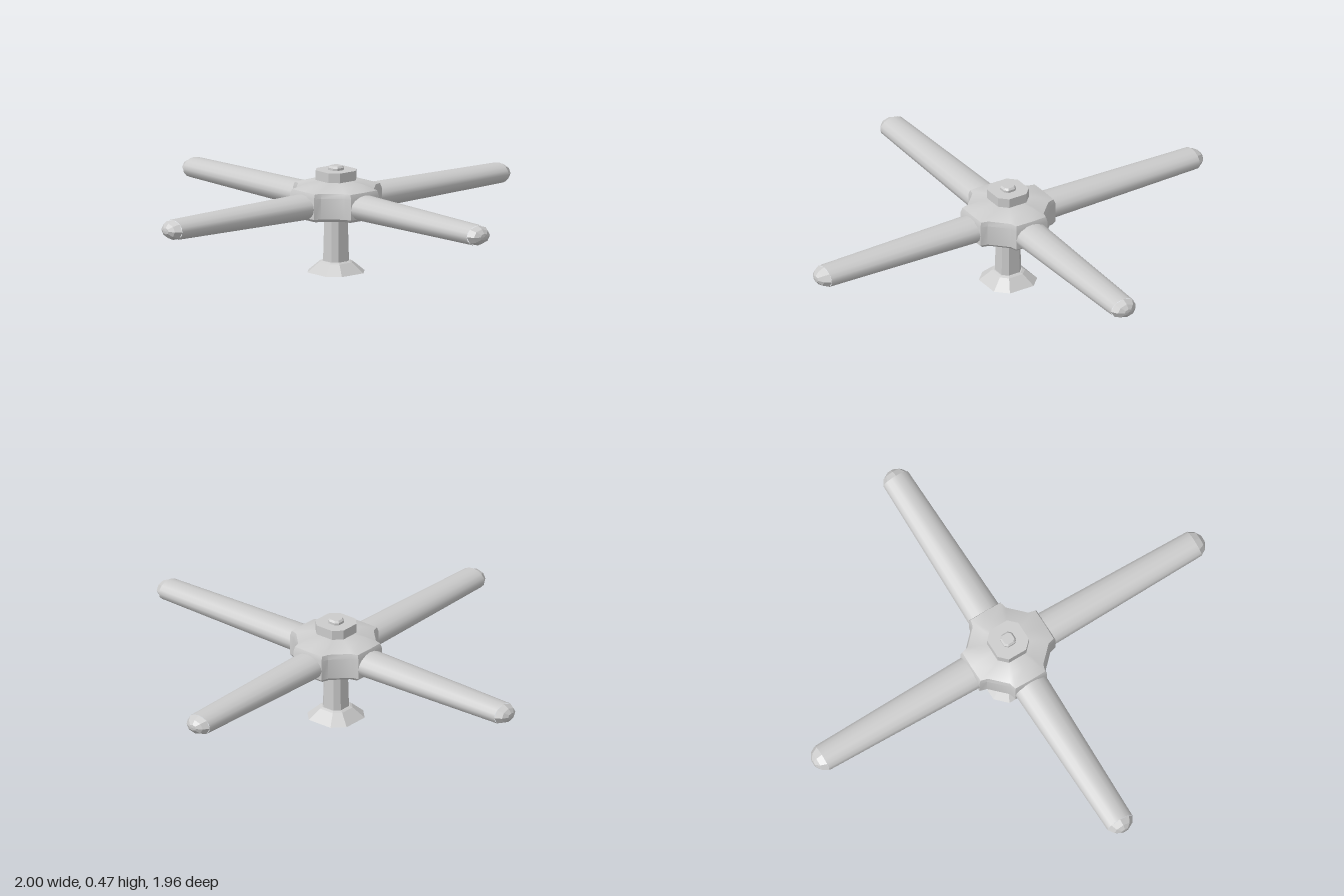
import * as THREE from 'three';
import { toCreasedNormals } from 'three/addons/utils/BufferGeometryUtils.js';

const smooth = new THREE.MeshStandardMaterial({ color: 0xcccccc });
const faceted = new THREE.MeshStandardMaterial({ color: 0xcccccc, flatShading: true });

// Repeat a quarter outline (in x, z) around the vertical axis
function fourfold(quarter) {
  const points = [];
  for (let i = 0; i < 4; i++) {
    const c = Math.round(Math.cos(i * Math.PI / 2)), s = Math.round(Math.sin(i * Math.PI / 2));
    for (const [x, z] of quarter) points.push([x * c - z * s, x * s + z * c]);
  }
  return points;
}

// Stack scaled copies of an outline as [scale, y] rings and close both ends
function stack(outline, rings) {
  const n = outline.length, pos = [], index = [];
  const layers = [[0, rings[0][1]], ...rings, [0, rings[rings.length - 1][1]]];
  for (const [s, y] of layers) for (const [x, z] of outline) pos.push(x * s, y, z * s);
  for (let r = 0; r < layers.length - 1; r++) {
    for (let i = 0; i < n; i++) {
      const a = r * n + i, b = r * n + (i + 1) % n;
      if (r > 0) index.push(a, a + n, b);
      if (r < layers.length - 2) index.push(b, a + n, b + n);
    }
    // bottom fan
    if (r === 0) for (let i = 0; i < n; i++) index.push(i, n + i, n + (i + 1) % n);
  }
  const g = new THREE.BufferGeometry();
  g.setAttribute('position', new THREE.Float32BufferAttribute(pos, 3));
  g.setIndex(index);
  return g;
}

// Unit square with cut corners
const octagon = fourfold([[1, -0.55], [1, 0.55]]);

function add(group, name, geometry, material) {
  const mesh = new THREE.Mesh(geometry, material);
  mesh.name = name;
  group.add(mesh);
  return mesh;
}

// Lathe a [radius, distance] profile, lay it along +x and flatten it vertically
function armPart(profile, sides) {
  const g = new THREE.LatheGeometry(profile.map(p => new THREE.Vector2(...p)), sides);
  g.rotateZ(-Math.PI / 2);
  g.scale(1, 0.7, 1);
  return g;
}

export function createModel() {
  const model = new THREE.Group();

  // Foot and stem
  add(model, 'foot', stack(octagon, [[0.112, 0], [0.065, 0.045], [0.055, 0.05]]), faceted);
  add(model, 'stem', stack(octagon, [[0.051, 0.04], [0.045, 0.28]]), faceted);

  // Cross-shaped domed hub with cut corners
  const hubOutline = fourfold([
    [0.195, -0.08], [0.197, 0], [0.195, 0.08], [0.162, 0.089], [0.089, 0.162],
  ]);
  const hub = stack(hubOutline, [
    [0.5, 0.248], [0.93, 0.255], [1, 0.268], [1, 0.36], [0.96, 0.381],
    [0.65, 0.4], [0.27, 0.41],
  ]);
  add(model, 'hub', toCreasedNormals(hub, 0.6), smooth);

  // Four tapered arms with faceted tips
  const shaft = armPart([[0.083, 0.12], [0.08, 0.2], [0.064, 0.955]], 16);
  const tip = armPart([[0.064, 0.955], [0.046, 0.983], [0.02, 0.998], [0, 1]], 8);
  for (let i = 0; i < 4; i++) {
    const arm = new THREE.Group();
    arm.name = 'arm' + (i + 1);
    add(arm, 'armShaft', shaft, smooth);
    add(arm, 'armTip', tip, faceted);
    arm.position.y = 0.313;
    arm.rotation.y = i * Math.PI / 2;
    if (i % 2) arm.scale.x = 0.982;
    model.add(arm);
  }

  // Nut and bolt end
  add(model, 'nut', stack(octagon, [[0.08, 0.412], [0.08, 0.455]]), faceted);
  add(model, 'boltEnd', stack(octagon, [[0.031, 0.45], [0.031, 0.465], [0.024, 0.473]]), faceted);

  return model;
}
